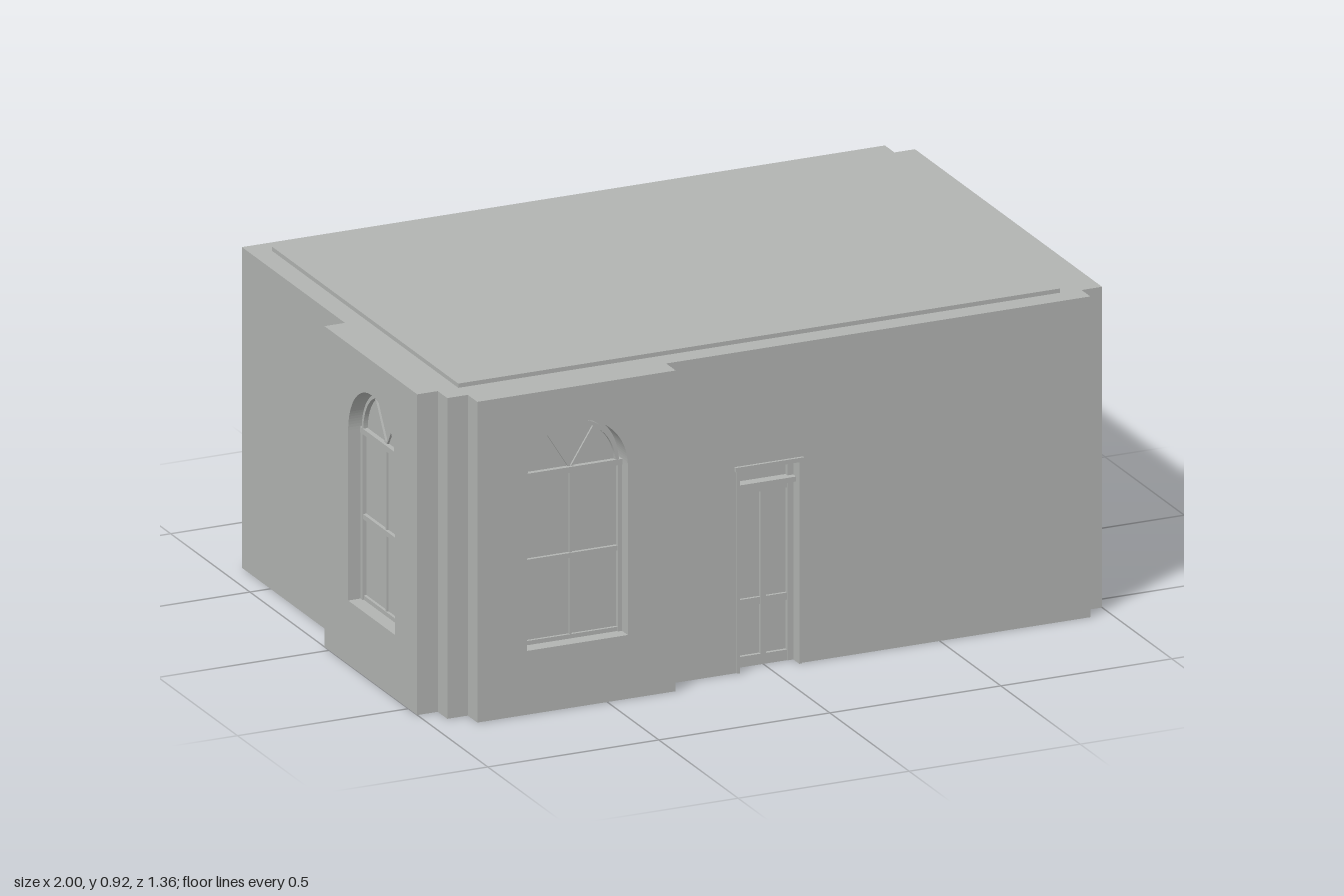
import * as THREE from 'three';

const H = 0.905, T = 0.06;          // wall height and thickness
const HALF = 0.1475, SILL = 0.18, SPRING = 0.66;

export function createModel() {
  const model = new THREE.Group();
  model.name = 'building';
  const plaster = new THREE.MeshStandardMaterial({ color: 0xb2b4b2 });
  plaster.name = 'plaster grey';

  const add = (parent, name, geometry) => {
    const mesh = new THREE.Mesh(geometry, plaster);
    mesh.name = name;
    parent.add(mesh);
    return mesh;
  };
  // Box given by its limits on each axis
  const box = (parent, name, x0, x1, y0, y1, z0, z1) => {
    const g = new THREE.BoxGeometry(x1 - x0, y1 - y0, z1 - z0);
    g.translate((x0 + x1) / 2, (y0 + y1) / 2, (z0 + z1) / 2);
    return add(parent, name, g);
  };
  const extrude = (shape, depth, z) =>
    new THREE.ExtrudeGeometry(shape, { depth, bevelEnabled: false, curveSegments: 28 }).translate(0, 0, z);
  const polygon = (points) => new THREE.Shape(points.map(([x, y]) => new THREE.Vector2(x, y)));

  // Arched window set behind the wall face at local z = 0
  function archedWindow(parent, cx) {
    const w = new THREE.Group();
    w.name = 'archedWindow';
    w.position.x = cx;
    parent.add(w);
    box(w, 'glass', -HALF, HALF, SILL, 0.655, -0.055, -0.048);
    const pane = new THREE.Shape();
    pane.absarc(0, SPRING, 0.132, 0, Math.PI, false);
    add(w, 'archGlass', extrude(pane, 0.007, -0.055));
    const ring = new THREE.Shape();
    ring.absarc(0, SPRING, 0.138, 0, Math.PI, false);
    ring.absarc(0, SPRING, 0.128, Math.PI, 0, true);
    add(w, 'archFrame', extrude(ring, 0.02, -0.055));
    for (const s of [-1, 1]) {
      const x = s * 0.1415;
      box(w, 'sideFrame', x - 0.006, x + 0.006, SILL, SPRING, -0.055, -0.036);
      const muntin = box(w, 'archMuntin', -0.003, 0.003, 0, 0.13, -0.05, -0.042);
      muntin.position.y = SPRING;
      muntin.rotation.z = s * 0.56;
    }
    box(w, 'transom', -HALF, HALF, 0.65, 0.666, -0.055, -0.034);
    box(w, 'meetingRail', -0.136, 0.136, 0.408, 0.422, -0.055, -0.038);
    box(w, 'bottomRail', -0.136, 0.136, SILL, 0.192, -0.055, -0.04);
    box(w, 'centreMuntin', -0.004, 0.004, SILL, 0.652, -0.055, -0.042);
  }

  // Wall panel with arched openings, outer face at local z = 0
  function windowWall(name, u0, u1, centres) {
    const wall = new THREE.Group();
    wall.name = name;
    const shape = polygon([[u0, 0], [u1, 0], [u1, H], [u0, H]]);
    for (const c of centres) {
      const hole = new THREE.Path();
      hole.moveTo(c - HALF, SILL);
      hole.lineTo(c + HALF, SILL);
      hole.lineTo(c + HALF, SPRING);
      hole.absarc(c, SPRING, HALF, 0, Math.PI, false);
      hole.lineTo(c - HALF, SILL);
      shape.holes.push(hole);
      archedWindow(wall, c);
    }
    add(wall, 'panel', extrude(shape, T, -T));
    model.add(wall);
    return wall;
  }

  // Walls with windows
  windowWall('frontBay', -0.88, -0.3, [-0.5875]).position.z = 0.675;
  const leftWall = windowWall('leftWall', -0.56, 0.62, [-0.267, 0.322]);
  leftWall.position.x = 1;
  leftWall.rotation.y = Math.PI / 2;
  const rightWall = windowWall('rightBay', -0.03, 0.555, [0.267]);
  rightWall.position.x = -1;
  rightWall.rotation.y = -Math.PI / 2;

  // Plain walls
  box(model, 'backWall', -0.94, 0.94, 0, H, -0.68, -0.62);
  box(model, 'rightRearWall', -0.94, -0.88, 0, H, -0.65, 0.03);
  const front = polygon([[-0.94, 0], [-0.09, 0], [-0.09, 0.572], [0.09, 0.572],
    [0.09, 0], [0.94, 0], [0.94, H], [-0.94, H]]);
  add(model, 'frontWall', extrude(front, T, 0.555));

  // Floor (notched at the doorway) and ceiling follow the stepped outline
  const backEdge = [[0.94, -0.68], [-0.94, -0.68], [-0.94, -0.03], [-1, -0.03], [-1, 0.555],
    [-0.94, 0.555], [-0.94, 0.615], [-0.88, 0.615], [-0.88, 0.675], [-0.3, 0.675], [-0.3, 0.615]];
  const notch = [[-0.09, 0.615], [-0.09, 0.57], [0.09, 0.57], [0.09, 0.615]];
  const rightEdge = [[0.94, 0.615], [0.94, 0.56], [1, 0.56], [1, -0.62], [0.94, -0.62]];
  const slab = (name, outline, y) => {
    const g = extrude(polygon(outline.map(([x, z]) => [x, -z])), 0.008, 0);
    g.rotateX(-Math.PI / 2);
    add(model, name, g).position.y = y;
  };
  slab('floor', [...backEdge, ...notch, ...rightEdge], 0);
  slab('ceiling', [...backEdge, ...rightEdge], H - 0.008);
  box(model, 'roofDeck', -0.88, 0.88, H - 0.004, 0.917, -0.62, 0.555);

  // Door with transom light and raised trim
  const door = new THREE.Group();
  door.name = 'door';
  model.add(door);
  box(door, 'doorLeaf', -0.09, 0.09, 0, 0.572, 0.556, 0.57);
  box(door, 'transomBar', -0.09, 0.09, 0.508, 0.522, 0.565, 0.6);
  box(door, 'headRail', -0.082, 0.082, 0.555, 0.572, 0.565, 0.585);
  box(door, 'topRail', -0.082, 0.082, 0.488, 0.508, 0.565, 0.58);
  box(door, 'lockRail', -0.082, 0.082, 0.17, 0.19, 0.565, 0.578);
  box(door, 'bottomRail', -0.082, 0.082, 0, 0.03, 0.565, 0.58);
  box(door, 'centreStile', -0.008, 0.008, 0, 0.508, 0.565, 0.58);
  for (const s of [-1, 1]) {
    const x = s * 0.08;
    box(door, 'stile', x - 0.01, x + 0.01, 0, 0.572, 0.565, 0.582);
    box(door, 'jambTrim', s * 0.091 - 0.004, s * 0.091 + 0.004, 0, 0.574, 0.57, 0.62);
  }
  box(door, 'headTrim', -0.1, 0.1, 0.57, 0.582, 0.6, 0.623);

  return model;
}
